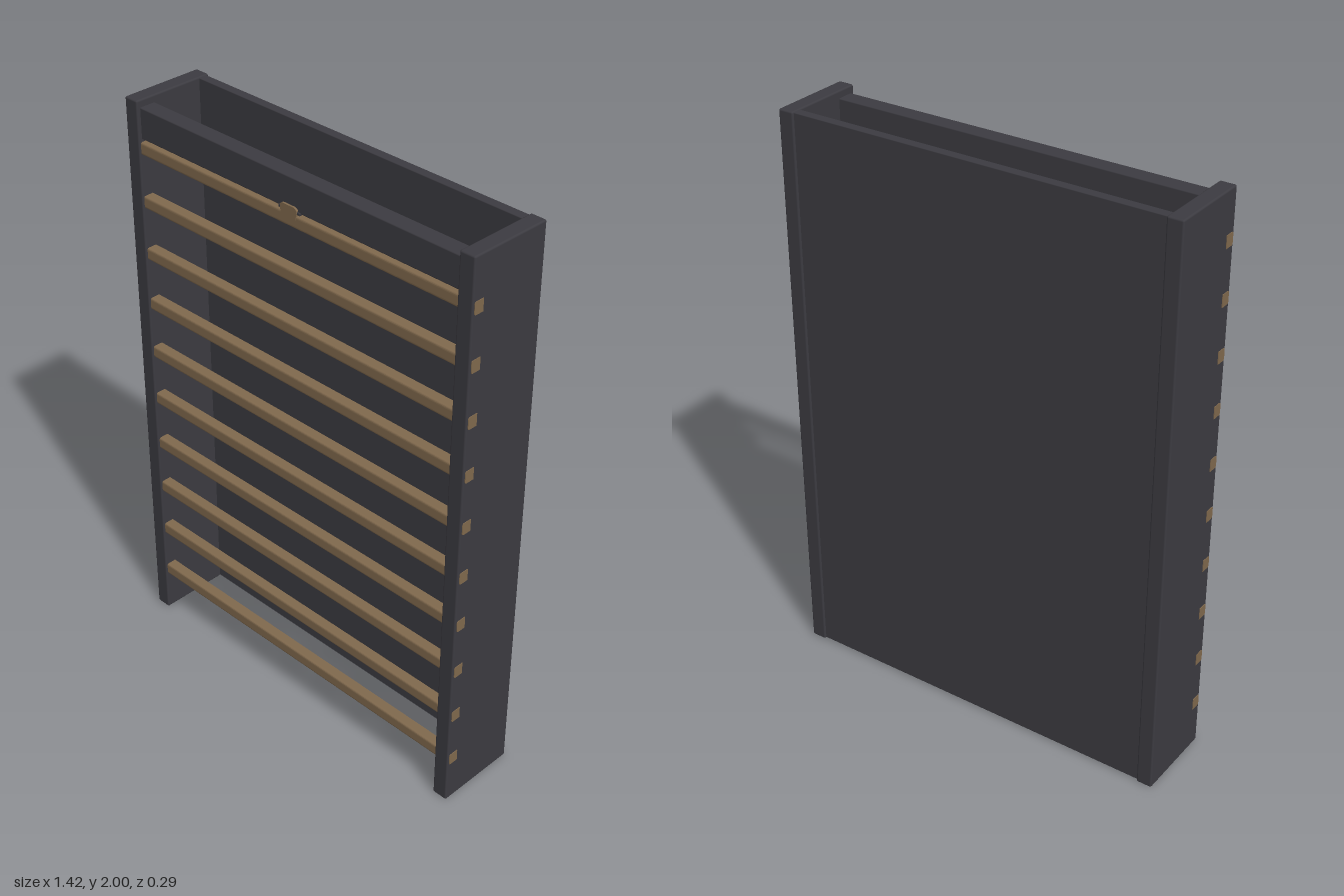
import * as THREE from 'three';
import { RoundedBoxGeometry } from 'three/addons/geometries/RoundedBoxGeometry.js';

export function createModel() {
  const group = new THREE.Group();
  const charcoal = new THREE.MeshStandardMaterial({ name: 'charcoal', color: 0x3c3b41 });
  const wood = new THREE.MeshStandardMaterial({ name: 'wood', color: 0x80694d });

  // Softened board given by its min and max corners
  function board(name, min, max, radius, material) {
    const size = max.map((v, i) => v - min[i]);
    const mesh = new THREE.Mesh(new RoundedBoxGeometry(...size, 2, radius), material);
    mesh.position.set(...max.map((v, i) => (v + min[i]) / 2));
    mesh.name = name;
    group.add(mesh);
  }

  // Frame: two uprights, back panel and top front rail
  board('leftUpright', [0.653, 0, -0.147], [0.708, 2, 0.147], 0.006, charcoal);
  board('rightUpright', [-0.708, 0, -0.147], [-0.653, 2, 0.147], 0.006, charcoal);
  board('backPanel', [-0.657, 0.003, -0.14], [0.657, 1.997, -0.108], 0.003, charcoal);
  board('topRail', [-0.657, 1.87, 0.075], [0.657, 1.975, 0.134], 0.004, charcoal);

  // Rungs pass through the uprights, with a softened front and a flat back
  const profile = new THREE.Shape();
  profile.moveTo(-0.018, -0.021);
  profile.lineTo(0.011, -0.021);
  profile.quadraticCurveTo(0.018, -0.021, 0.018, -0.013);
  profile.lineTo(0.018, 0.013);
  profile.quadraticCurveTo(0.018, 0.021, 0.011, 0.021);
  profile.lineTo(-0.018, 0.021);
  profile.closePath();
  const rungGeometry = new THREE.ExtrudeGeometry(profile, {
    depth: 1.42, bevelEnabled: false, curveSegments: 4,
  });
  rungGeometry.translate(0, 0, -0.71);
  rungGeometry.rotateY(-Math.PI / 2); // profile x -> z, length -> x
  for (let i = 0; i < 10; i++) {
    const rung = new THREE.Mesh(rungGeometry, wood);
    rung.name = 'rung' + (i + 1);
    rung.position.set(0, 0.175 + i * 0.185, 0.122);
    group.add(rung);
  }

  // Small catch at the middle of the top rail
  const catchShape = new THREE.Shape();
  catchShape.moveTo(-0.03, -0.02);
  catchShape.lineTo(0.03, -0.02);
  catchShape.lineTo(0.034, 0.016);
  catchShape.quadraticCurveTo(0.03, 0.024, 0.02, 0.024);
  catchShape.lineTo(-0.02, 0.024);
  catchShape.quadraticCurveTo(-0.03, 0.024, -0.034, 0.016);
  catchShape.closePath();
  const catchBlock = new THREE.Mesh(
    new THREE.ExtrudeGeometry(catchShape, { depth: 0.025, bevelEnabled: false }), wood);
  catchBlock.name = 'catchBlock';
  catchBlock.position.set(0, 1.863, 0.116);
  group.add(catchBlock);
  board('catchBar', [-0.045, 1.865, 0.115], [0.045, 1.875, 0.138], 0.003, charcoal);

  return group;
}
